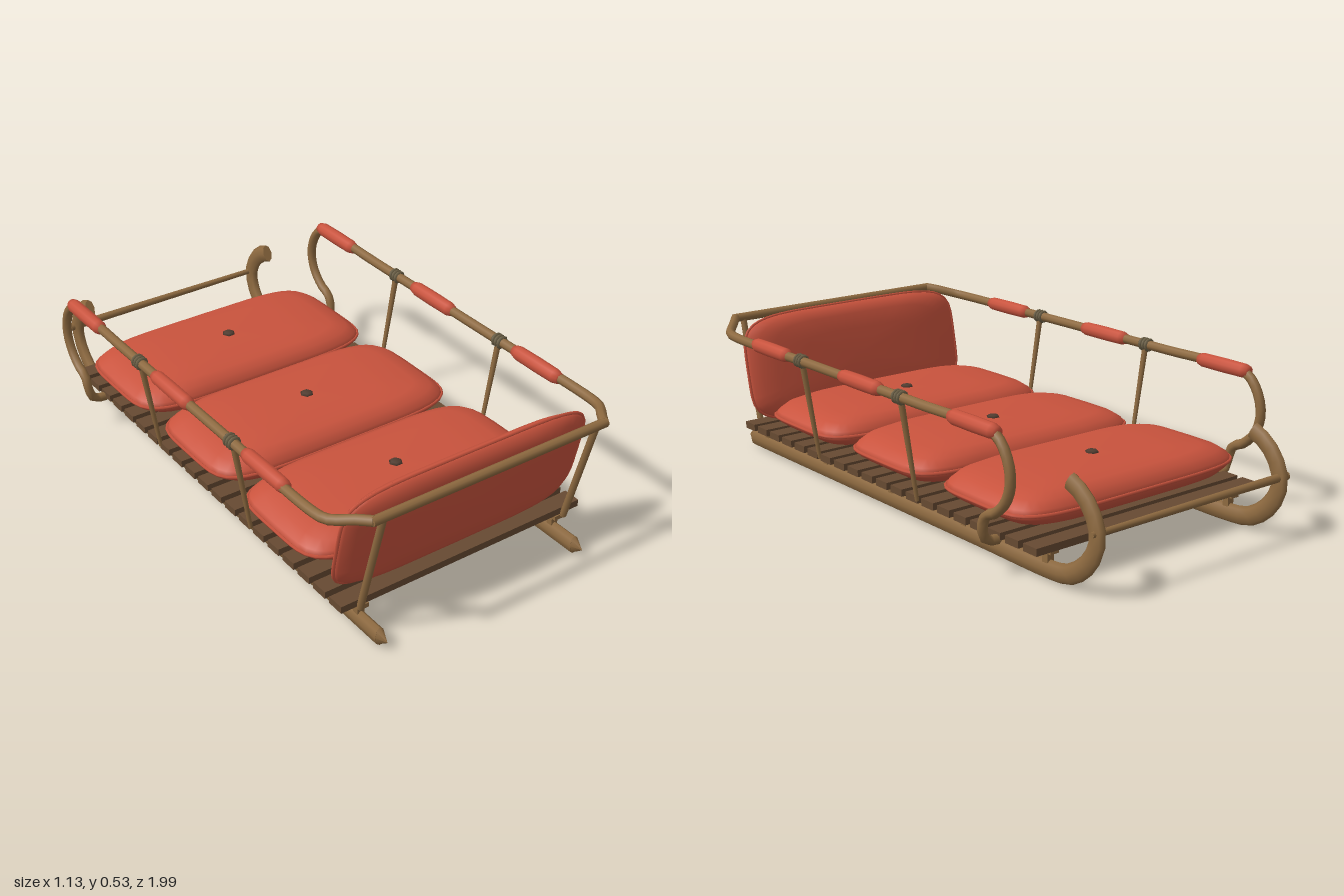
import * as THREE from 'three';
import { mergeGeometries, mergeVertices } from 'three/addons/utils/BufferGeometryUtils.js';

const V = (x, y, z) => new THREE.Vector3(x, y, z);

export function createModel() {
  const sled = new THREE.Group();
  sled.name = 'sled';
  const mat = (name, color) => {
    const m = new THREE.MeshStandardMaterial({ color });
    m.name = name;
    return m;
  };
  const wood = mat('wood', 0x8e6a40);
  const slatWood = mat('dark slat wood', 0x674a32);
  const red = mat('red fabric', 0xc9533d);
  const buttonMat = mat('button brown', 0x4f3c30);
  const cord = mat('cord', 0x6e6248);

  const add = (name, geo, material, parent = sled) => {
    const m = new THREE.Mesh(geo, material);
    m.name = name;
    parent.add(m);
    return m;
  };

  // Capped tube through points
  const tube = (pts, r, segs, sides = 8) => {
    const curve = new THREE.CatmullRomCurve3(pts, false, 'centripetal');
    const parts = [new THREE.TubeGeometry(curve, segs, r, sides)];
    for (const t of [0, 1]) {
      const dir = curve.getTangent(t).multiplyScalar(t ? 1 : -1);
      const cap = new THREE.CircleGeometry(r, sides);
      cap.applyQuaternion(new THREE.Quaternion().setFromUnitVectors(V(0, 0, 1), dir));
      const p = curve.getPoint(t);
      parts.push(cap.translate(p.x, p.y, p.z));
    }
    return mergeGeometries(parts);
  };

  // Straight rod, tapering from a to b
  const rod = (a, b, ra, rb = ra, sides = 8) => {
    const d = b.clone().sub(a);
    const g = new THREE.CylinderGeometry(rb, ra, d.length(), sides);
    g.applyQuaternion(new THREE.Quaternion().setFromUnitVectors(V(0, 1, 0), d.normalize()));
    const c = a.clone().add(b).multiplyScalar(0.5);
    return g.translate(c.x, c.y, c.z);
  };

  // Rounded-rectangle outline
  const outline = (a, hx, hz) => {
    const f = (v) => Math.sign(v) * Math.pow(Math.abs(v), 0.38);
    return [f(Math.cos(a)) * hx, f(Math.sin(a)) * hz];
  };

  // Pillow: lathe profile remapped onto the rounded rectangle
  const pillow = (hx, hz, h) => {
    const profile = [[0, -1], [0.5, -0.97], [0.78, -0.86], [0.91, -0.6], [0.98, -0.25], [1, 0],
      [0.98, 0.25], [0.91, 0.6], [0.78, 0.86], [0.5, 0.97], [0, 1]];
    let g = new THREE.LatheGeometry(profile.map(([r, y]) => new THREE.Vector2(r, y * h)), 36);
    const p = g.attributes.position;
    for (let i = 0; i < p.count; i++) {
      const r = Math.hypot(p.getX(i), p.getZ(i));
      if (r < 1e-4) { p.setXYZ(i, 0, p.getY(i), 0); continue; }
      const [x, z] = outline(Math.atan2(p.getZ(i), p.getX(i)), hx, hz);
      p.setXYZ(i, x * r, p.getY(i), z * r);
    }
    g.deleteAttribute('uv');
    g.deleteAttribute('normal');
    g = mergeVertices(g, 1e-4);
    g.computeVertexNormals();
    return g;
  };
  const cushion = (name, hx, hz, h) => {
    const group = new THREE.Group();
    group.name = name;
    add('pillow', pillow(hx, hz, h), red, group);
    const pts = [];
    for (let i = 0; i < 40; i++) {
      const [x, z] = outline((i / 40) * Math.PI * 2, hx, hz);
      pts.push(V(x, 0, z));
    }
    const seam = new THREE.CatmullRomCurve3(pts, true);
    add('piping', new THREE.TubeGeometry(seam, 80, 0.006, 5, true), red, group);
    sled.add(group);
    return group;
  };

  // Seat cushions with buttons
  for (const z of [-0.51, 0, 0.51]) {
    const c = cushion('seatCushion', 0.482, 0.243, 0.065);
    c.position.set(0, 0.197, z);
    const b = add('button', new THREE.SphereGeometry(0.024, 6, 4), buttonMat, c);
    b.scale.y = 0.4;
    b.position.y = 0.065;
  }

  // Leaning backrest
  const back = cushion('backrest', 0.478, 0.198, 0.046);
  back.position.set(0, 0.325, 0.845);
  back.rotation.x = -Math.PI / 2 + 0.2;

  // Deck slats
  for (let i = 0; i < 20; i++) {
    add('slat', new THREE.BoxGeometry(0.96, 0.025, 0.062)
      .translate(0, 0.118, 0.845 - i * 0.0847), slatWood);
  }

  for (const s of [-1, 1]) {
    const side = new THREE.Group();
    side.name = s > 0 ? 'leftSide' : 'rightSide';
    sled.add(side);

    // Runner with its upturned curl, narrowed sideways
    const runner = tube([V(0, 0.034, 0.96), V(0, 0.034, 0.4), V(0, 0.034, -0.4), V(0, 0.034, -0.78),
      V(0, 0.044, -0.845), V(0, 0.085, -0.91), V(0, 0.14, -0.952), V(0, 0.2, -0.966),
      V(0, 0.26, -0.945), V(0, 0.31, -0.9), V(0, 0.338, -0.845)], 0.033, 50, 8);
    add('runner', runner.scale(0.55, 1, 1).translate(s * 0.395, 0, 0), wood, side);
    const tip = new THREE.ConeGeometry(0.033, 0.04, 8).rotateX(Math.PI / 2);
    add('runnerTip', tip.scale(0.55, 1, 1).translate(s * 0.395, 0.036, 0.978), wood, side);

    // Deck beam and its short supports
    add('deckBeam', new THREE.BoxGeometry(0.034, 0.016, 1.66)
      .translate(s * 0.395, 0.097, 0.05), wood, side);
    for (const z of [0.85, 0.45, 0.05, -0.35, -0.75]) {
      add('support', new THREE.BoxGeometry(0.026, 0.045, 0.024)
        .translate(s * 0.395, 0.075, z), wood, side);
    }

    // Handrail: from the rear bar, along the side, curling down to the deck
    const rail = [[0.445, 0.502, 0.98], [0.475, 0.495, 0.94], [0.528, 0.478, 0.875], [0.54, 0.475, 0.83],
      [0.54, 0.475, 0.3], [0.54, 0.475, -0.3], [0.54, 0.475, -0.64], [0.54, 0.46, -0.69],
      [0.54, 0.41, -0.73], [0.54, 0.34, -0.747], [0.54, 0.275, -0.728], [0.54, 0.225, -0.68],
      [0.54, 0.2, -0.63], [0.538, 0.15, -0.612], [0.52, 0.113, -0.61], [0.475, 0.106, -0.61]];
    add('handrail', tube(rail.map(([x, y, z]) => V(s * x, y, z)), 0.017, 80), wood, side);

    // Padded grips
    for (const z of [0.565, 0.015, -0.575]) {
      const grip = new THREE.LatheGeometry([[0, -0.112], [0.019, -0.112], [0.025, -0.09],
        [0.026, 0], [0.025, 0.09], [0.019, 0.112], [0, 0.112]]
        .map(([r, y]) => new THREE.Vector2(r, y)), 10);
      add('grip', grip.rotateX(Math.PI / 2).translate(s * 0.54, 0.475, z), red, side);
    }

    // Slanted rail posts, lashed at the top
    for (const z of [0.375, -0.2]) {
      add('railPost', rod(V(s * 0.478, 0.115, z), V(s * 0.537, 0.475, z), 0.007, 0.011, 6), wood, side);
      for (const dz of [-0.014, 0, 0.014]) {
        add('lashing', new THREE.TorusGeometry(0.018, 0.007, 5, 10)
          .translate(s * 0.54, 0.475, z + dz), cord, side);
      }
    }

    // Rear upright
    add('rearUpright', rod(V(s * 0.412, 0.1, 0.88), V(s * 0.412, 0.5, 0.98), 0.012), wood, side);
  }

  // Cross bars at the backrest and between the curls
  add('rearBar', rod(V(-0.453, 0.502, 0.98), V(0.453, 0.502, 0.98), 0.016), wood);
  add('curlBar', rod(V(-0.425, 0.21, -0.967), V(0.42, 0.21, -0.967), 0.015, 0.01), wood);

  return sled;
}
